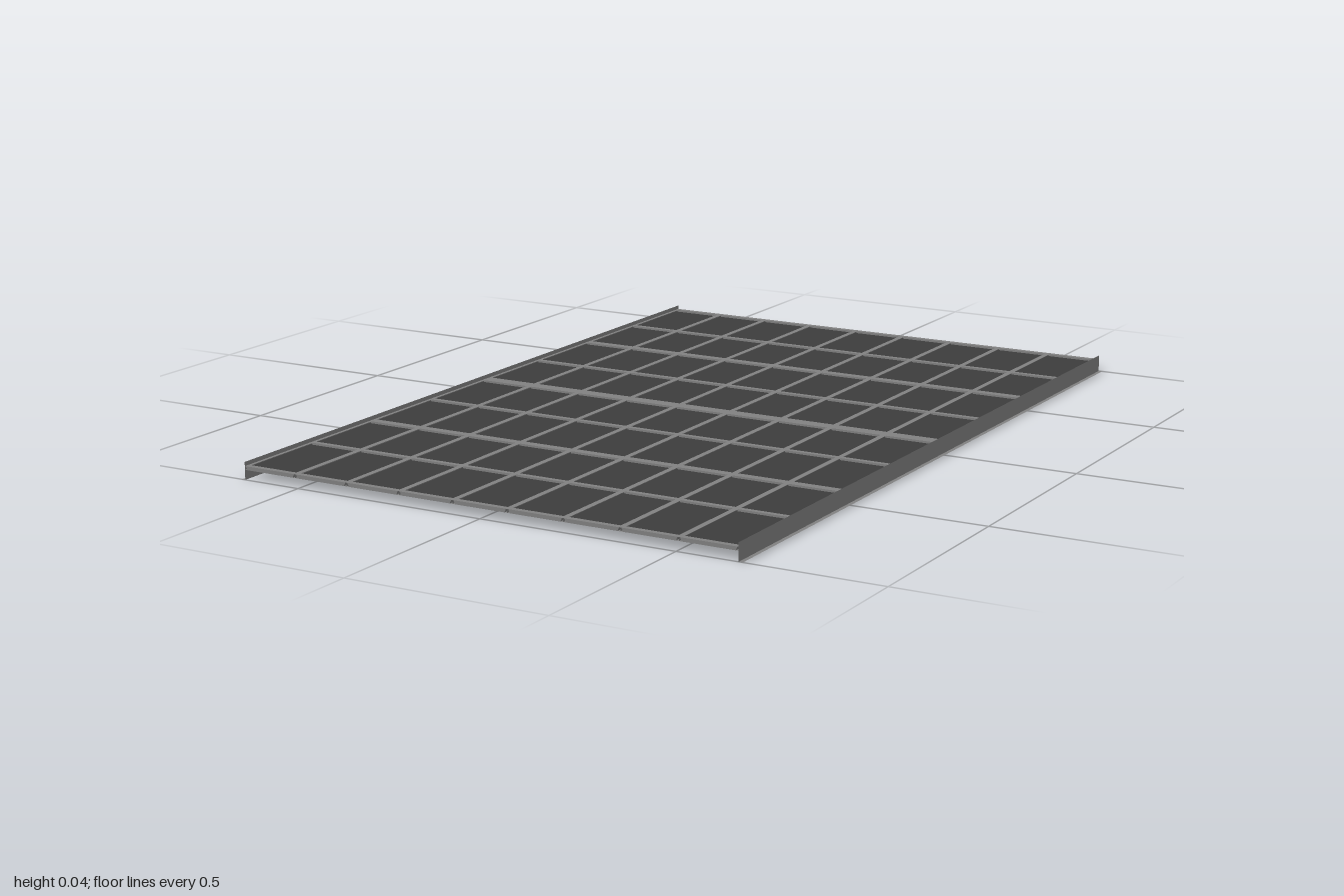
import * as THREE from 'three';

export function createModel() {
  const model = new THREE.Group();
  const metal = new THREE.MeshStandardMaterial({ color: 0x808080, side: THREE.DoubleSide });
  metal.name = 'grey metal';
  const dark = new THREE.MeshStandardMaterial({ color: 0x3c3c3c, side: THREE.DoubleSide });
  dark.name = 'dark panel';

  const low = 0.024, high = 0.033, mid = 0.028;
  const columns = 9, halfX = 0.652, pitch = (halfX * 2) / columns;

  const add = (name, geometry, material, x, y, z) => {
    const mesh = new THREE.Mesh(geometry, material);
    mesh.name = name;
    mesh.position.set(x, y, z);
    model.add(mesh);
  };
  // Thin sheets, lying flat or standing along z
  const flat = (name, w, d, x, y, z, material = metal) =>
    add(name, new THREE.PlaneGeometry(w, d).rotateX(-Math.PI / 2), material, x, y, z);
  const upright = (name, h, d, x, y, z) =>
    add(name, new THREE.PlaneGeometry(d, h).rotateY(Math.PI / 2), metal, x, y, z);

  // Dark sheet filling all the cells
  flat('panelSheet', halfX * 2, 1.99, 0, mid, 0, dark);

  // Lengthwise bars made from sheet flanges and a web
  for (let i = 1; i < columns; i++) {
    const x = -halfX + i * pitch;
    flat('longBarTop', 0.014, 2, x, high, 0);
    flat('longBarBottom', 0.014, 2, x, low, 0);
    upright('longBarWeb', high - low, 2, x, (low + high) / 2, 0);
  }

  // Crossbars: one short piece with slanted ends per column
  const crossbars = [
    [-0.993, 0.014], [-0.745, 0.013], [-0.503, 0.022], [-0.25, 0.013], [0, 0.034],
    [0.25, 0.013], [0.503, 0.022], [0.745, 0.013], [0.993, 0.014],
  ];
  const a = pitch / 2 - 0.003, b = pitch / 2 - 0.007;
  const outline = new THREE.Shape([
    new THREE.Vector2(-b, low), new THREE.Vector2(b, low),
    new THREE.Vector2(a, high), new THREE.Vector2(-a, high),
  ]);
  for (const [z, width] of crossbars) {
    const piece = new THREE.ExtrudeGeometry(outline, { depth: width, bevelEnabled: false });
    piece.translate(0, 0, -width / 2);
    for (let i = 0; i < columns; i++) {
      add('crossbar', piece, metal, -halfX + (i + 0.5) * pitch, 0, z);
    }
  }

  // Side rails with an inner ledge and an outward foot
  for (const s of [-1, 1]) {
    upright('railWeb', 0.043, 2, s * halfX, 0.0215, 0);
    flat('railFoot', 0.01, 2, s * (halfX + 0.005), 0, 0);
    flat('railLedgeTop', 0.008, 2, s * (halfX - 0.004), high, 0);
    flat('railLedgeBottom', 0.008, 2, s * (halfX - 0.004), low, 0);
  }
  return model;
}
